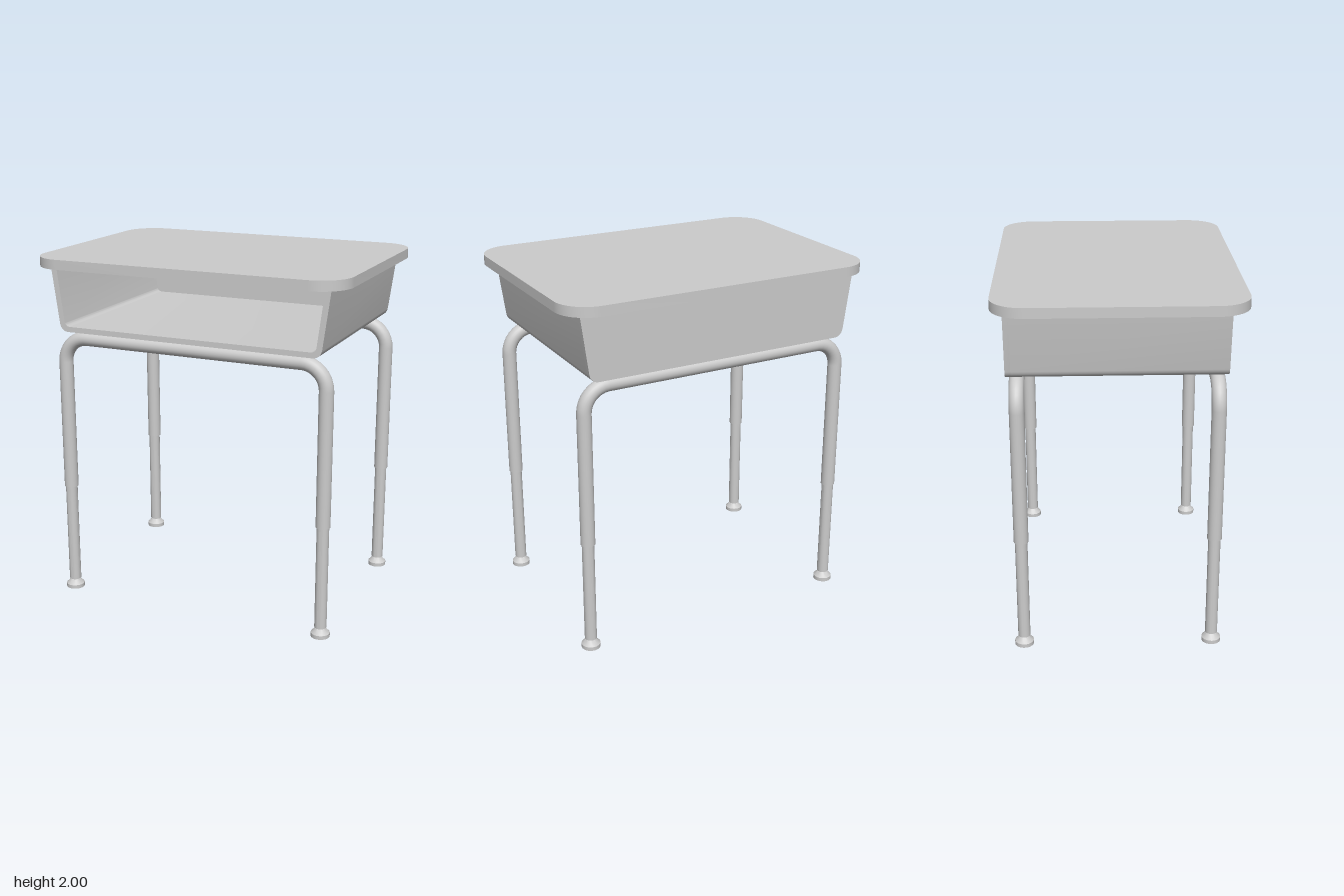
import * as THREE from 'three';
import { toCreasedNormals } from 'three/addons/utils/BufferGeometryUtils.js';

const material = new THREE.MeshStandardMaterial({ color: 0xcccccc });
const V = (x, y) => new THREE.Vector3(x, y, 0);

function part(name, geometry, x = 0, y = 0, z = 0) {
  const mesh = new THREE.Mesh(geometry, material);
  mesh.name = name;
  mesh.position.set(x, y, z);
  return mesh;
}

// Extrudes a shape along +z and keeps its hard edges sharp
function extrude(shape, depth) {
  const geometry = new THREE.ExtrudeGeometry(shape, { depth, bevelEnabled: false, curveSegments: 12 });
  return toCreasedNormals(geometry, 0.5);
}

function roundedRect(w, d, r) {
  const s = new THREE.Shape();
  s.absarc(w - r, d - r, r, 0, Math.PI / 2);
  s.absarc(-w + r, d - r, r, Math.PI / 2, Math.PI);
  s.absarc(-w + r, -d + r, r, Math.PI, Math.PI * 1.5);
  s.absarc(w - r, -d + r, r, Math.PI * 1.5, Math.PI * 2);
  s.closePath();
  return s;
}

// Tapered bin outline from the top left, round the bottom, to the top right
function traceBin(s, topW, bottomW, top, bottom, r, reverse = false) {
  const k = reverse ? 1 : -1;
  const slant = (topW - bottomW) * r / (top - bottom);
  s.lineTo(k * topW, top);
  s.lineTo(k * (bottomW + slant), bottom + r);
  s.quadraticCurveTo(k * bottomW, bottom, k * (bottomW - r), bottom);
  s.lineTo(-k * (bottomW - r), bottom);
  s.quadraticCurveTo(-k * bottomW, bottom, -k * (bottomW + slant), bottom + r);
  s.lineTo(-k * topW, top);
}

// Storage bin: open at the front, closed at the back
function bookBox() {
  const group = new THREE.Group();
  group.name = 'bookBox';
  const top = 1.95, front = 0.56, back = -0.59, wall = 0.03;

  const shell = new THREE.Shape();
  shell.moveTo(-0.82, top);
  traceBin(shell, 0.82, 0.77, top, 1.58, 0.05);
  traceBin(shell, 0.787, 0.742, top, 1.61, 0.03, true);
  shell.closePath();
  group.add(part('binShell', extrude(shell, front - back - wall), 0, 0, back + wall));

  const panel = new THREE.Shape();
  panel.moveTo(-0.82, top);
  traceBin(panel, 0.82, 0.77, top, 1.58, 0.05);
  panel.closePath();
  group.add(part('backPanel', extrude(panel, wall), 0, 0, back));
  return group;
}

// Bent tube forming one pair of upper legs and the rail between them
function frameTube() {
  const w = 0.782, top = 1.54, bottom = 0.645, r = 0.14, k = r * 0.448;
  const path = new THREE.CurvePath();
  path.add(new THREE.LineCurve3(V(-w, bottom), V(-w, top - r)));
  path.add(new THREE.CubicBezierCurve3(V(-w, top - r), V(-w, top - k), V(-w + k, top), V(-w + r, top)));
  path.add(new THREE.LineCurve3(V(-w + r, top), V(w - r, top)));
  path.add(new THREE.CubicBezierCurve3(V(w - r, top), V(w - k, top), V(w, top - k), V(w, top - r)));
  path.add(new THREE.LineCurve3(V(w, top - r), V(w, bottom)));
  return new THREE.TubeGeometry(path, 120, 0.04, 24);
}

// Lathe from [radius, height] pairs, listed from bottom to top
function lathe(points) {
  const geometry = new THREE.LatheGeometry(points.map(([x, y]) => new THREE.Vector2(x, y)), 24);
  return toCreasedNormals(geometry.toNonIndexed(), 0.5);
}

export function createModel() {
  const model = new THREE.Group();
  model.name = 'schoolDesk';

  // Desktop
  const desktop = part('desktop', extrude(roundedRect(0.907, 0.658, 0.18), 0.055), 0, 1.945, 0);
  desktop.rotation.x = -Math.PI / 2;
  model.add(desktop, bookBox());

  // Shared leg profiles
  const tube = frameTube();
  const lowerLeg = lathe([[0, 0.055], [0.034, 0.055], [0.034, 0.645], [0.04, 0.645]]);
  const foot = lathe([[0, 0], [0.053, 0], [0.053, 0.022], [0.046, 0.028], [0.028, 0.05], [0.028, 0.06]]);

  // Front and back frames, each with two adjustable legs
  const frameX = 0.007;
  for (const [side, z] of [['front', 0.512], ['back', -0.536]]) {
    const frame = new THREE.Group();
    frame.name = side + 'Frame';
    frame.position.set(frameX, 0, z);
    frame.add(part('frameTube', tube));
    for (const x of [-0.782, 0.782]) {
      frame.add(part('lowerLeg', lowerLeg, x), part('foot', foot, x));
    }
    model.add(frame);
  }

  // Brace joining the two frames under the bin
  model.add(part('crossBrace', new THREE.BoxGeometry(0.075, 0.07, 1.048), frameX, 1.545, -0.012));
  return model;
}
